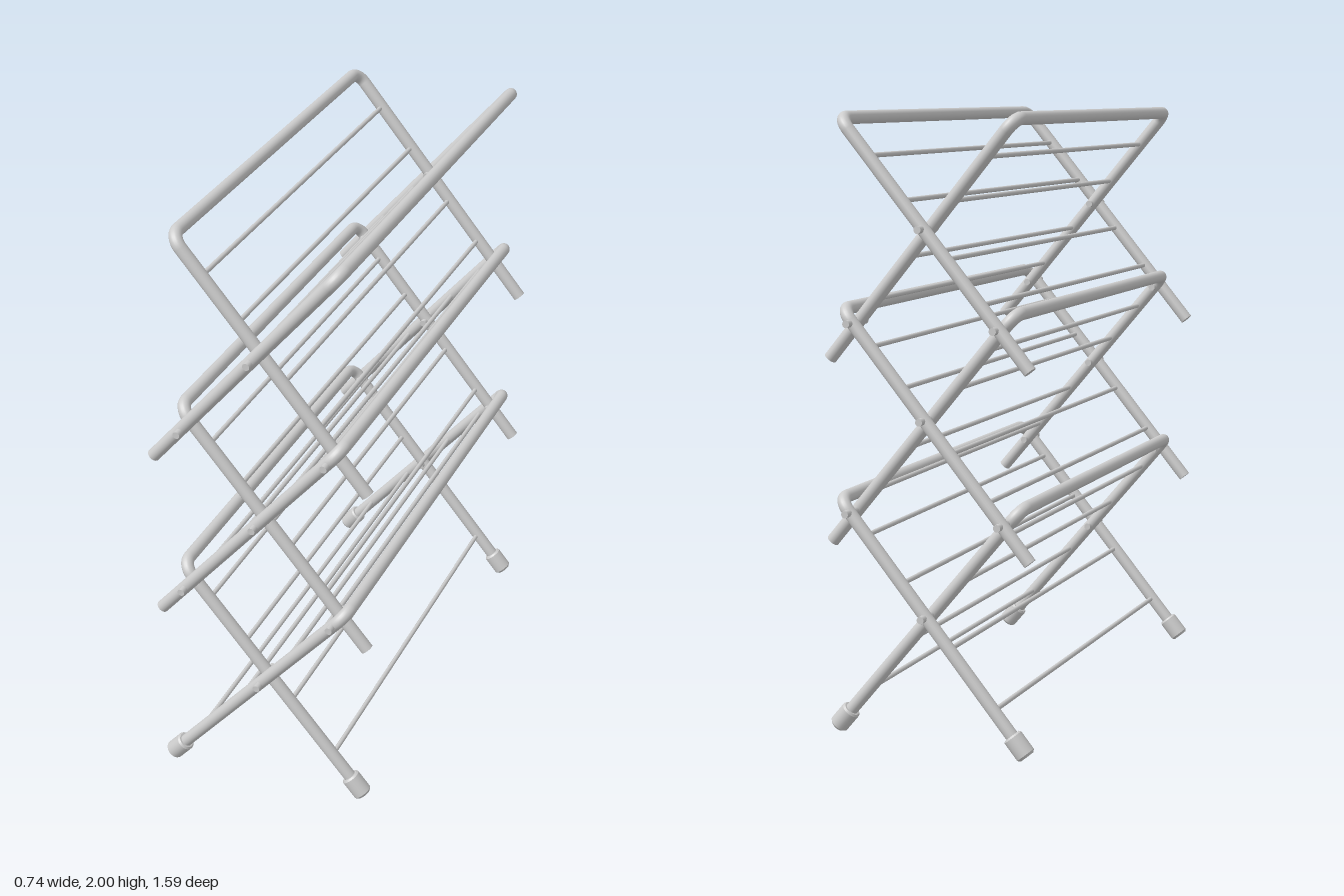
import * as THREE from 'three';

const mat = new THREE.MeshStandardMaterial({ color: 0xcccccc });
const R = 0.021;          // frame tube radius
const BEND = 0.045;       // corner bend radius
const SLOPE = 1.19;       // rise of the legs
const TILT = Math.atan(1 / SLOPE);
const ALONG = Math.hypot(1, SLOPE) / SLOPE; // leg length per unit of height

// crossing height, reach above and below it, rung heights relative to it
const tiers = [
  { y: 0.43, up: 0.355, down: 0.409, rungs: [0.245, 0.1, -0.095, -0.275], feet: true },
  { y: 1.055, up: 0.334, down: 0.42, rungs: [0.22, 0.095, -0.1, -0.245] },
  { y: 1.645, up: 0.334, down: 0.42, rungs: [0.22, 0.085, -0.09, -0.225] },
];

function add(parent, name, geometry, x = 0, y = 0, z = 0) {
  const mesh = new THREE.Mesh(geometry, mat);
  mesh.name = name;
  mesh.position.set(x, y, z);
  parent.add(mesh);
  return mesh;
}

// round bar running along z
const zBar = (r, length, sides) => new THREE.CylinderGeometry(r, r, length, sides).rotateX(Math.PI / 2);

// rubber foot with chamfered rims, split into bands for crisp edges
function footGeometry() {
  const p = [[0, 0], [0.025, 0], [0.025, 0], [0.032, 0.008], [0.032, 0.008],
    [0.032, 0.074], [0.032, 0.074], [0.027, 0.08], [0.027, 0.08], [0, 0.08]];
  return new THREE.LatheGeometry(p.map(([x, y]) => new THREE.Vector2(x, y)), 24);
}

// one U-shaped frame, built upright around its pivot and then tilted
function makeFrame(tier, halfWidth, side) {
  const frame = new THREE.Group();
  const top = tier.up * ALONG, bottom = -tier.down * ALONG;
  const legTop = top - BEND;
  const legBottom = tier.feet ? bottom + 0.04 : bottom;

  add(frame, 'topBar', zBar(R, 2 * (halfWidth - BEND), 20), 0, top, 0);
  for (const s of [1, -1]) {
    add(frame, 'leg', new THREE.CylinderGeometry(R, R, legTop - legBottom, 20),
      0, (legTop + legBottom) / 2, s * halfWidth);
    const corner = add(frame, 'cornerBend', new THREE.TorusGeometry(BEND, R, 20, 10, Math.PI / 2),
      0, legTop, s * (halfWidth - BEND));
    corner.rotation.y = -s * Math.PI / 2;
    if (tier.feet) add(frame, 'foot', footGeometry(), 0, bottom, s * halfWidth);
  }
  for (const h of tier.rungs) {
    add(frame, 'rung', zBar(0.008, 2 * (halfWidth - 0.01), 10), 0, h * ALONG, 0);
  }
  frame.position.y = tier.y;
  frame.rotation.z = -side * TILT;
  return frame;
}

export function createModel() {
  const model = new THREE.Group();
  model.name = 'foldingDryingRack';

  // crossed pairs: wide frames lean to +x, narrow frames to -x
  tiers.forEach((tier) => {
    const outer = makeFrame(tier, 0.754, 1);
    outer.name = 'outerFrame';
    const inner = makeFrame(tier, 0.7, -1);
    inner.name = 'innerFrame';
    model.add(outer, inner);
  });

  // pivot pins at the crossings and at the joints between tiers
  const pins = tiers.map((t) => [0, t.y]);
  for (const s of [1, -1]) pins.push([s * 0.26, 0.745], [s * 0.247, 1.347]);
  for (const [x, y] of pins) {
    for (const s of [1, -1]) add(model, 'pivotPin', zBar(0.012, 0.132, 14), x, y, s * 0.73);
  }
  return model;
}
